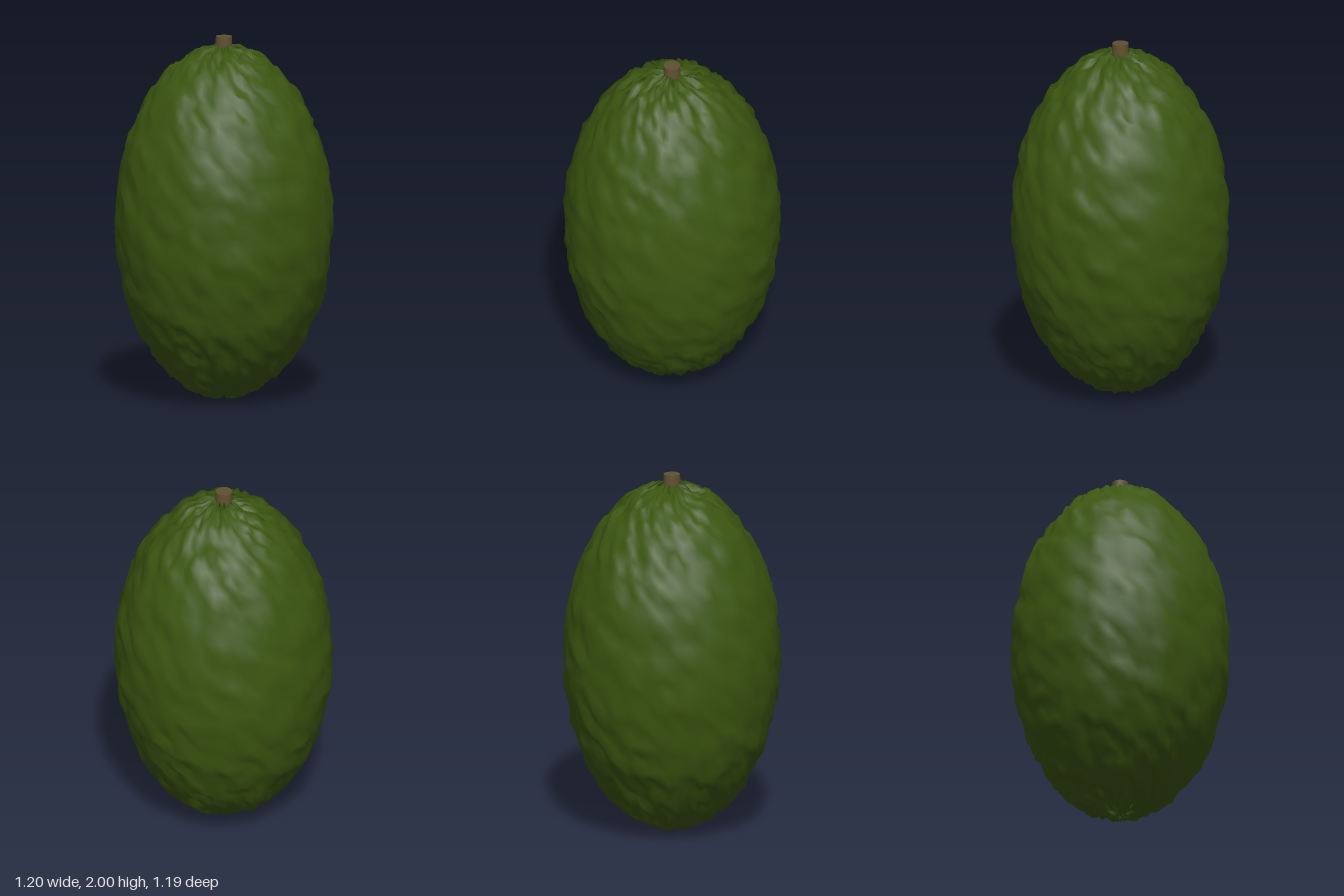
import * as THREE from 'three';
import { mergeVertices } from 'three/addons/utils/BufferGeometryUtils.js';

const AROUND = 64, RINGS = 48;

// Repeatable pseudo-random value in 0..1 for a grid point
function hash(i, j) {
  const s = Math.sin(i * 127.1 + j * 311.7 + 4.3) * 43758.5453;
  return s - Math.floor(s);
}

// Egg-shaped skin with a small bump at each grid point
function fruitGeometry() {
  const geo = new THREE.SphereGeometry(1, AROUND, RINGS);
  const pos = geo.attributes.position;
  for (let j = 0; j <= RINGS; j++) {
    for (let i = 0; i <= AROUND; i++) {
      const k = j * (AROUND + 1) + i;
      const pole = j === 0 || j === RINGS;
      const bump = pole ? 0.98 : 0.975 + 0.05 * hash(i % AROUND, j);
      pos.setXYZ(k, pos.getX(k) * 0.588 * bump, 0.98 + pos.getY(k) * 0.96 * bump, pos.getZ(k) * 0.588 * bump);
    }
  }
  // Weld the seam so that the shading stays smooth across it
  geo.deleteAttribute('uv');
  geo.deleteAttribute('normal');
  const welded = mergeVertices(geo, 1e-5);
  welded.computeVertexNormals();
  return welded;
}

export function createModel() {
  const group = new THREE.Group();
  group.name = 'fruit';
  const skinGreen = new THREE.MeshStandardMaterial({ color: 0x3b5510 });
  skinGreen.name = 'skinGreen';
  const stemBrown = new THREE.MeshStandardMaterial({ color: 0x5f5030 });
  stemBrown.name = 'stemBrown';

  const skin = new THREE.Mesh(fruitGeometry(), skinGreen);
  skin.name = 'skin';
  group.add(skin);

  // Short stem, a little wider at its foot
  const stem = new THREE.Mesh(new THREE.CylinderGeometry(0.045, 0.051, 0.14, 12), stemBrown);
  stem.name = 'stem';
  stem.position.y = 1.93;
  group.add(stem);
  return group;
}
